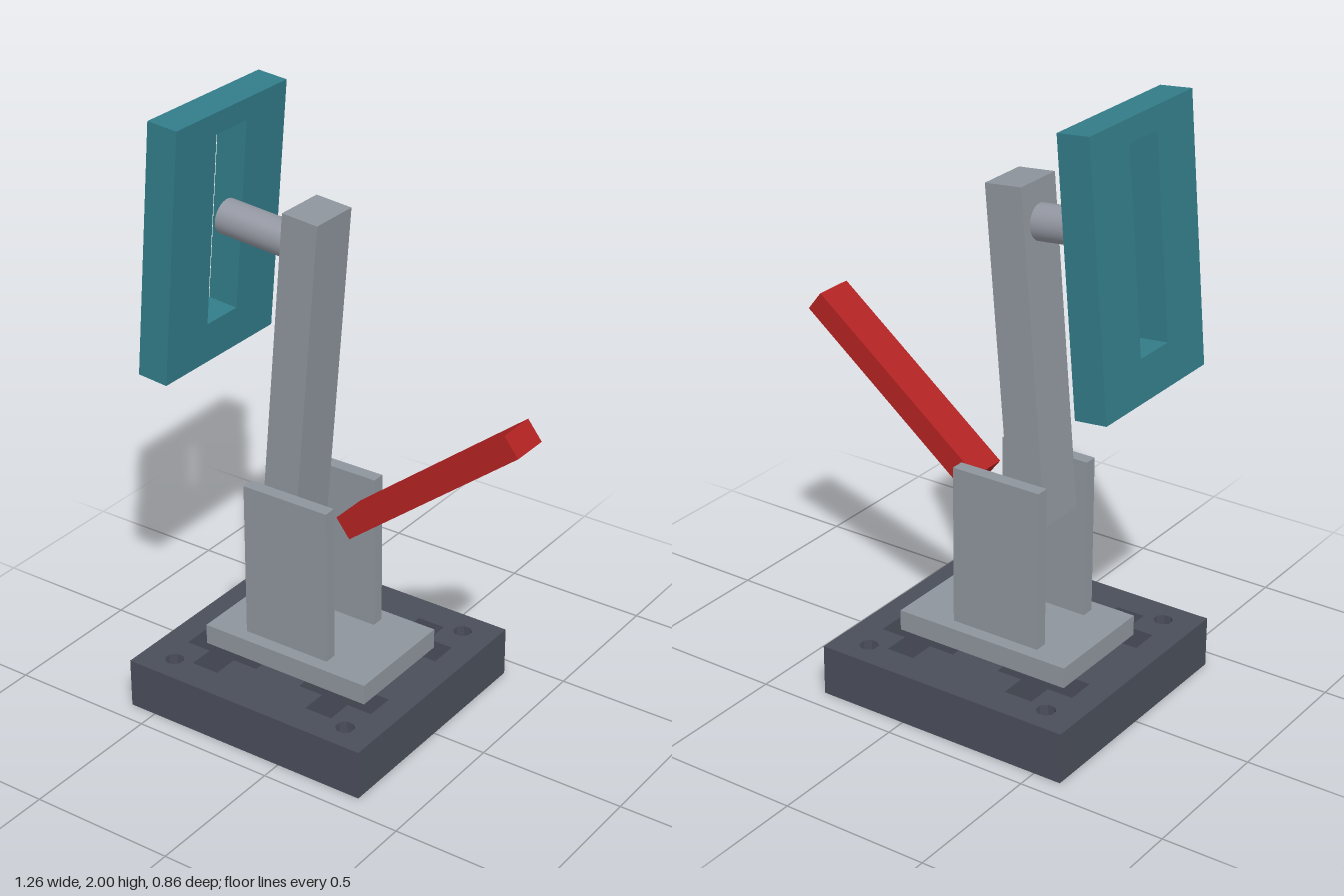
import * as THREE from 'three';

const mat = (name, color) => {
  const m = new THREE.MeshStandardMaterial({ color });
  m.name = name;
  return m;
};

// Closed rectangular outline centred on (cx, cy)
function rect(Type, cx, cy, hw, hh) {
  return new Type([[-hw, -hh], [hw, -hh], [hw, hh], [-hw, hh]]
    .map(([x, y]) => new THREE.Vector2(cx + x, cy + y)));
}

// Plus-shaped opening with arm length a and half width w
function plusHole(cx, cy, a, w) {
  return new THREE.Path([
    [-w, -a], [w, -a], [w, -w], [a, -w], [a, w], [w, w],
    [w, a], [-w, a], [-w, w], [-a, w], [-a, -w], [-w, -w],
  ].map(([x, y]) => new THREE.Vector2(cx + x, cy + y)));
}

// Eight-sided bolt hole
function boltHole(cx, cy, r) {
  return new THREE.Path(Array.from({ length: 8 }, (_, i) => {
    const t = (i + 0.5) * Math.PI / 4;
    return new THREE.Vector2(cx + r * Math.cos(t), cy + r * Math.sin(t));
  }));
}

export function createModel() {
  const model = new THREE.Group();
  const slate = mat('slate', 0x4a4e5a);
  const steel = mat('steel grey', 0x8d949b);
  const rodGrey = mat('rod grey', 0x9296a0);
  const teal = mat('teal', 0x327c88);
  const red = mat('red', 0xb22222);

  function add(name, geometry, material, x, y, z, tilt = 0) {
    const mesh = new THREE.Mesh(geometry, material);
    mesh.name = name;
    mesh.position.set(x, y, z);
    mesh.rotation.z = tilt;
    model.add(mesh);
    return mesh;
  }
  const box = (w, h, d) => new THREE.BoxGeometry(w, h, d);

  // Base block with four plus openings and four bolt holes
  const baseX = -0.142;
  const baseShape = rect(THREE.Shape, 0, 0, 0.453, 0.43);
  for (const sx of [-1, 1]) {
    for (const sz of [-1, 1]) {
      baseShape.holes.push(plusHole(sx * 0.226, sz * 0.185, 0.14, 0.05));
      baseShape.holes.push(boltHole(sx * 0.34, sz * 0.34, 0.032));
    }
  }
  const baseGeo = new THREE.ExtrudeGeometry(baseShape, { depth: 0.172, bevelEnabled: false });
  baseGeo.rotateX(-Math.PI / 2);
  add('base', baseGeo, slate, baseX, 0, 0);

  // Mounting plate and two upright cheeks
  add('mountingPlate', box(0.63, 0.07, 0.405), steel, -0.14, 0.207, 0);
  for (const s of [-1, 1]) {
    add(s > 0 ? 'frontCheek' : 'backCheek', box(0.32, 0.545, 0.045), steel, -0.163, 0.5125, s * 0.134);
  }

  // Leaning arm; the rod and panel share its tilt
  const tilt = -5.1 * Math.PI / 180;
  add('arm', box(0.13, 1.094, 0.178), steel, -0.189, 1.175, 0, tilt);
  add('rod', new THREE.CylinderGeometry(0.058, 0.058, 0.275, 32), rodGrey, -0.349, 1.607, 0, tilt + Math.PI / 2);

  // Slotted panel
  const panelShape = rect(THREE.Shape, 0, 0, 0.274, 0.431);
  panelShape.holes.push(rect(THREE.Path, 0, 0.033, 0.075, 0.325));
  const panelGeo = new THREE.ExtrudeGeometry(panelShape, { depth: 0.109, bevelEnabled: false });
  panelGeo.translate(0, 0, -0.0545).rotateY(Math.PI / 2);
  add('panel', panelGeo, teal, -0.542, 1.565, 0, tilt);

  // Red lever
  add('lever', box(0.77, 0.08, 0.134), red, 0.302, 0.932, 0, 38.1 * Math.PI / 180);

  return model;
}
